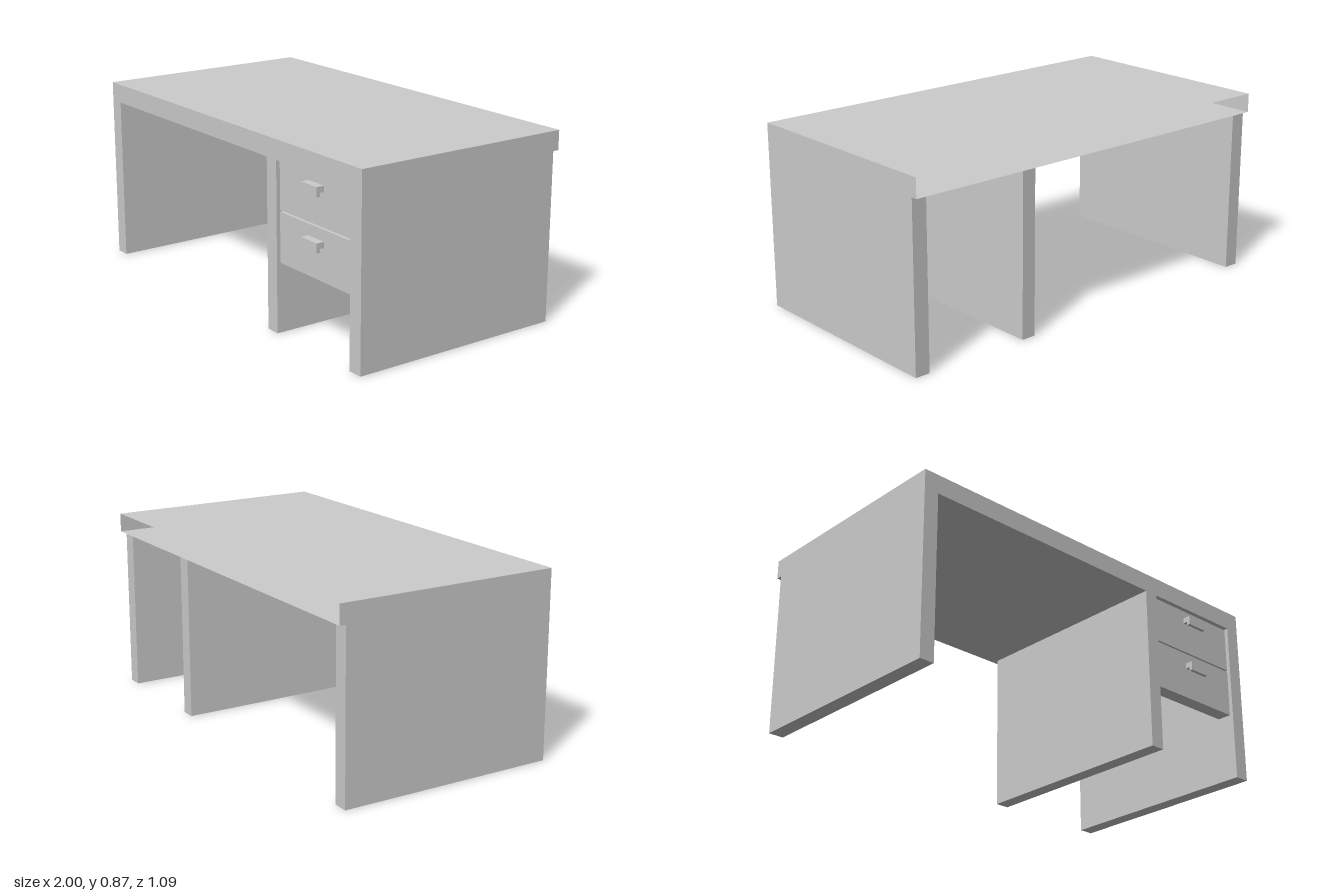
import * as THREE from 'three';

const grey = new THREE.MeshStandardMaterial({ color: 0xcccccc });
const greyDouble = new THREE.MeshStandardMaterial({ color: 0xcccccc, side: THREE.DoubleSide });

// Box given by its lower and upper limits on each axis
function block(name, [x0, x1], [y0, y1], [z0, z1], material = grey) {
  const mesh = new THREE.Mesh(new THREE.BoxGeometry(x1 - x0, y1 - y0, z1 - z0), material);
  mesh.position.set((x0 + x1) / 2, (y0 + y1) / 2, (z0 + z1) / 2);
  mesh.name = name;
  return mesh;
}

export function createModel() {
  const desk = new THREE.Group();
  desk.name = 'desk';

  const front = 0.527;
  const underside = 0.783;

  // Hollow desktop, open along its rear edge (the last box side is dropped)
  const top = block('desktop', [-1, 1], [underside, 0.873], [-0.546, front], greyDouble);
  const index = Array.from(top.geometry.index.array);
  top.geometry.setIndex(index.slice(0, 30));
  top.geometry.clearGroups();
  desk.add(top);

  // Three full-depth supporting panels
  const panels = { rightPanel: [-1, -0.928], middlePanel: [0.342, 0.412], leftPanel: [0.928, 1] };
  for (const [name, x] of Object.entries(panels)) {
    desk.add(block(name, x, [0, underside], [-0.516, front]));
  }

  // Two drawer fronts, set slightly back, each with a hooked handle
  const drawers = [
    { name: 'upperDrawer', y: [0.56, 0.779], handleTop: 0.74 },
    { name: 'lowerDrawer', y: [0.323, 0.552], handleTop: 0.5 },
  ];
  for (const { name, y, handleTop } of drawers) {
    const drawer = new THREE.Group();
    drawer.name = name;
    drawer.add(block('drawerFront', [0.414, 0.926], y, [0.44, 0.51]));

    // L-shaped handle profile: z runs along shape x, height along shape y
    const profile = new THREE.Shape([
      [0.51, 0], [0.51, -0.027], [0.531, -0.027], [0.531, -0.044], [0.547, -0.044], [0.547, 0],
    ].map(([z, h]) => new THREE.Vector2(z, h)));
    const handle = new THREE.Mesh(
      new THREE.ExtrudeGeometry(profile, { depth: 0.108, bevelEnabled: false }), grey);
    handle.name = 'handle';
    handle.rotation.y = -Math.PI / 2;
    handle.position.set(0.728, handleTop, 0);
    drawer.add(handle);
    desk.add(drawer);
  }
  return desk;
}
